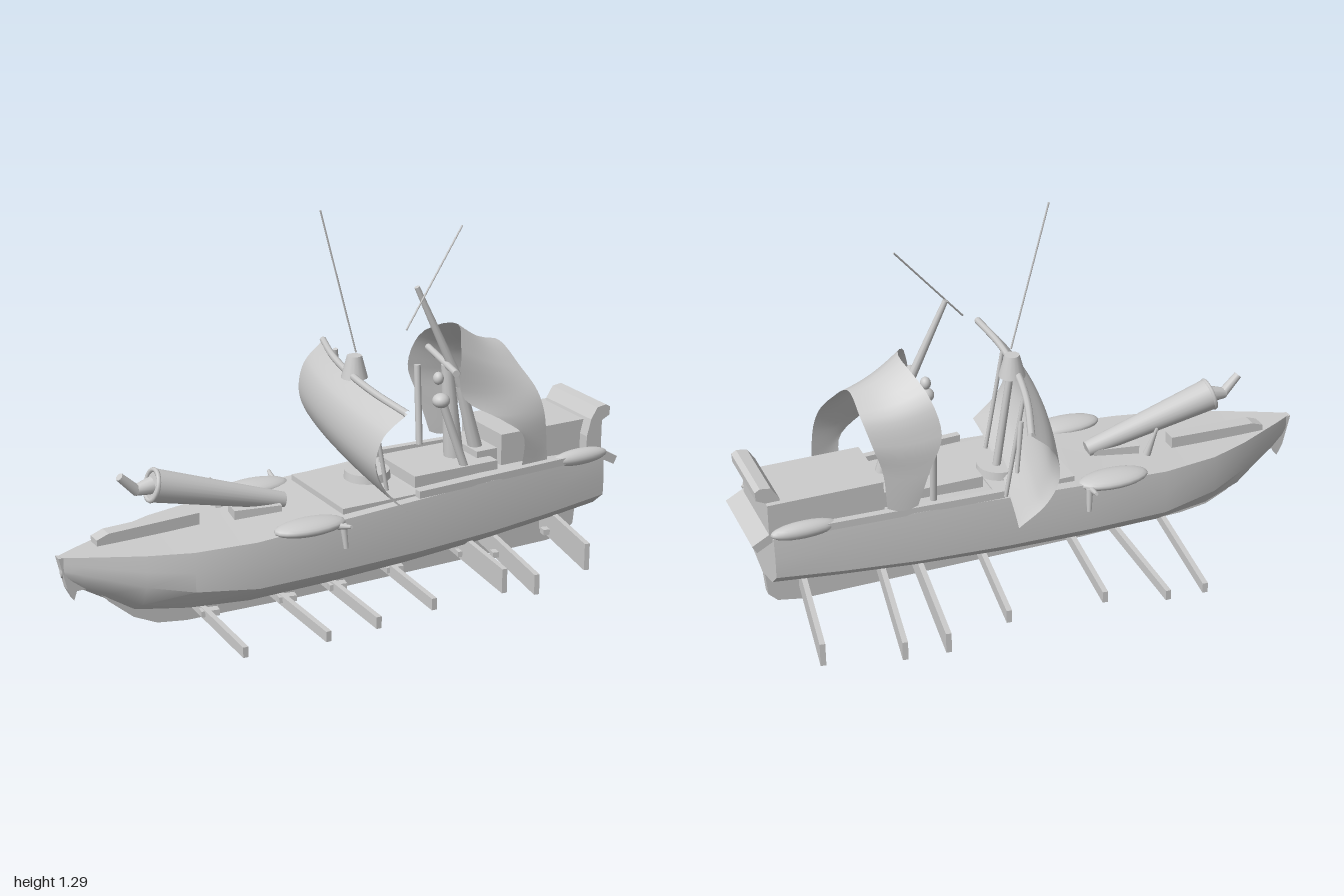
import * as THREE from 'three';
import { toCreasedNormals } from 'three/addons/utils/BufferGeometryUtils.js';
import { ParametricGeometry } from 'three/addons/geometries/ParametricGeometry.js';

const V = (x, y, z) => new THREE.Vector3(x, y, z);
const mat = new THREE.MeshStandardMaterial({ color: 0xcccccc });
const thin = new THREE.MeshStandardMaterial({ color: 0xcccccc, side: THREE.DoubleSide });

function add(parent, name, geo, material = mat) {
  const m = new THREE.Mesh(geo, material);
  m.name = name;
  parent.add(m);
  return m;
}

// Tapered round bar between two points
function rod(parent, name, a, b, r1, r2 = r1, sides = 10) {
  const m = add(parent, name, new THREE.CylinderGeometry(r2, r1, a.distanceTo(b), sides));
  m.position.copy(a).add(b).multiplyScalar(0.5);
  m.quaternion.setFromUnitVectors(V(0, 1, 0), b.clone().sub(a).normalize());
}

function box(parent, name, x, y, z, w, h, d) {
  const m = add(parent, name, new THREE.BoxGeometry(w, h, d));
  m.position.set(x, y, z);
  return m;
}

// Flattened ellipsoid
function pod(parent, name, x, y, z, rx, ry, rz) {
  const m = add(parent, name, new THREE.SphereGeometry(1, 20, 12));
  m.position.set(x, y, z);
  m.scale.set(rx, ry, rz);
}

// Flat side profile in x-y, extruded and centred across z
function plate(parent, name, pts, depth) {
  const shape = new THREE.Shape(pts.map(p => new THREE.Vector2(...p)));
  const g = new THREE.ExtrudeGeometry(shape, { depth, bevelEnabled: false });
  return add(parent, name, g.translate(0, 0, -depth / 2));
}

// Hull skin lofted through stations: x, half width, deck, chine, bottom heights
function hullGeometry() {
  const stations = [
    [-0.99, 0.012, 0.31, 0.265, 0.24], [-0.93, 0.045, 0.31, 0.25, 0.19],
    [-0.85, 0.085, 0.31, 0.23, 0.14], [-0.76, 0.13, 0.31, 0.205, 0.08],
    [-0.62, 0.185, 0.312, 0.18, 0.055], [-0.42, 0.22, 0.318, 0.162, 0.052],
    [-0.15, 0.225, 0.335, 0.165, 0.057], [0.15, 0.222, 0.35, 0.17, 0.07],
    [0.45, 0.21, 0.36, 0.18, 0.09], [0.7, 0.19, 0.36, 0.193, 0.11], [0.92, 0.172, 0.35, 0.21, 0.13],
  ];
  const pos = [], idx = [];
  for (const [x, w, top, chine, low] of stations) {
    const half = [[top, w * 0.97], [(top + chine) / 2, w * 1.01], [chine, w], [low + (chine - low) * 0.4, w * 0.68]];
    const ring = [...half, [low, 0], ...half.slice().reverse().map(([y, z]) => [y, -z])];
    for (const [y, z] of ring) pos.push(x, y, z);
  }
  const n = 9, last = (stations.length - 1) * n;
  for (let i = 0; i < stations.length - 1; i++) for (let j = 0; j < n; j++) {
    const a = i * n + j, b = i * n + (j + 1) % n;
    idx.push(a, b, a + n, b, b + n, a + n);
  }
  for (let k = 1; k < n - 1; k++) idx.push(0, k + 1, k, last, last + k, last + k + 1);
  const g = new THREE.BufferGeometry();
  g.setAttribute('position', new THREE.Float32BufferAttribute(pos, 3));
  g.setIndex(idx);
  return toCreasedNormals(g, 0.5);
}

export function createModel() {
  const model = new THREE.Group();

  // The ship lies slightly turned; everything fixed to the hull shares this frame
  const ship = new THREE.Group();
  ship.name = 'ship';
  ship.position.z = 0.052;
  ship.rotation.y = 0.178;
  ship.scale.x = 1.016;
  model.add(ship);

  add(ship, 'hull', hullGeometry());
  plate(ship, 'keel', [[-0.92, 0.22], [-0.84, 0.13], [-0.76, 0.06], [-0.68, 0.022], [-0.58, 0.008], [-0.2, 0],
    [0.8, 0.005], [0.88, 0.02], [0.91, 0.05], [0.92, 0.16], [0.7, 0.14], [0, 0.1], [-0.7, 0.1]], 0.03);
  plate(ship, 'beak', [[-1, 0.31], [-0.975, 0.2], [-0.955, 0.16], [-0.945, 0.19], [-0.88, 0.19], [-0.88, 0.3]], 0.03);

  // Low wedge on the foredeck
  const wedge = plate(ship, 'foredeckWedge', [[-0.86, 0.3], [-0.51, 0.3], [-0.51, 0.355], [-0.82, 0.345], [-0.86, 0.33]], 0.05);
  wedge.position.z = -0.045;

  // Deck fittings
  box(ship, 'midDeck', 0.04, 0.342, 0, 0.28, 0.03, 0.36);
  add(ship, 'mastBase', new THREE.CylinderGeometry(0.075, 0.08, 0.04, 28)).position.set(0.11, 0.365, -0.04);
  box(ship, 'aftDeck', 0.36, 0.372, 0, 0.32, 0.04, 0.24);

  // Rails and small side boats
  for (const s of [-1, 1]) {
    const rail = box(ship, 'rail', 0.52, 0.367, s * 0.187, 0.72, 0.025, 0.025);
    rail.rotation.y = s * 0.05;
    pod(ship, 'sideBoat', -0.23, 0.33, s * 0.2, 0.125, 0.026, 0.058);
    pod(ship, 'sternBoat', 0.82, 0.367, s * 0.168, 0.11, 0.028, 0.032);
    rod(ship, 'boatHook', V(-0.13, 0.33, s * 0.235), V(-0.125, 0.25, s * 0.245), 0.012, 0.008);
    rod(ship, 'boatPeg', V(-0.14, 0.32, s * 0.22), V(-0.13, 0.34, s * 0.29), 0.012, 0.006);
  }

  // Stern cabin, flared back panel and sloping ledge
  box(ship, 'cabin', 0.74, 0.41, -0.03, 0.38, 0.12, 0.25);
  box(ship, 'cabinStep', 0.54, 0.385, -0.03, 0.14, 0.06, 0.2);
  plate(ship, 'sternPanel', [[0.87, 0.35], [0.93, 0.35], [0.93, 0.47], [0.96, 0.485], [0.962, 0.515],
    [0.945, 0.525], [0.91, 0.52], [0.885, 0.48], [0.87, 0.42]], 0.272);
  const ledge = box(ship, 'sternLedge', 0.94, 0.342, 0, 0.09, 0.03, 0.31);
  ledge.rotation.z = -0.5;

  // Deck cannon with its rear handle and cradle
  const tail = V(-0.22, 0.345, 0.08), muzzle = V(-0.67, 0.475, 0.14);
  rod(model, 'cannonBarrel', tail, muzzle, 0.028, 0.055, 24);
  const rim = add(model, 'cannonRim', new THREE.TorusGeometry(0.05, 0.008, 8, 24));
  rim.position.copy(muzzle);
  rim.quaternion.setFromUnitVectors(V(0, 0, 1), muzzle.clone().sub(tail).normalize());
  rod(model, 'cannonHandle', muzzle, V(-0.73, 0.468, 0.15), 0.03, 0.018);
  rod(model, 'cannonHandle', V(-0.72, 0.465, 0.15), V(-0.78, 0.525, 0.165), 0.018, 0.014);
  box(model, 'cannonCradle', -0.32, 0.33, 0.095, 0.16, 0.04, 0.08);
  rod(model, 'deckPeg', V(-0.42, 0.33, 0.03), V(-0.45, 0.43, 0.02), 0.014, 0.005);

  // Main sail: a padded crescent bulging forward, wrapped back a little at both ends
  const profile = new THREE.CatmullRomCurve3([V(0.105, 0.365, 0), V(0.01, 0.45, 0), V(-0.037, 0.55, 0), V(-0.022, 0.65, 0), V(0.045, 0.722, 0)]);
  const sailPoint = (u, v, t, depth) => {
    const p = profile.getPoint(v), k = 2 * u - 1;
    const pad = depth * Math.sin(Math.PI * v) * (1 - k ** 12);
    t.set(p.x + (0.015 + 0.03 * v) * k * k + pad, p.y - 0.008 * k * k, -0.015 + k * (0.375 + 0.045 * v));
  };
  for (const depth of [0, 0.025]) {
    add(model, 'mainSail', new ParametricGeometry((u, v, t) => sailPoint(u, v, t, depth), 40, 20), thin);
  }
  const edge = [0, 0.25, 0.5, 0.75, 1].map(u => { const t = V(0, 0, 0); sailPoint(u, 1, t, 0); return t; });
  add(model, 'sailYard', new THREE.TubeGeometry(new THREE.CatmullRomCurve3(edge), 30, 0.012, 8));
  rod(model, 'mainMast', V(0.12, 0.35, -0.02), V(0.06, 0.76, -0.015), 0.014, 0.012);
  rod(model, 'sailStay', V(0.12, 0.36, 0.14), V(0.06, 0.72, 0.14), 0.007);
  rod(model, 'sailStay', V(0.12, 0.36, -0.19), V(0.06, 0.72, -0.19), 0.007);
  rod(model, 'sailPin', V(0.12, 0.545, -0.36), V(0.1, 0.71, -0.33), 0.007, 0.009);
  rod(model, 'mastTop', V(0.06, 0.71, -0.015), V(0.06, 0.785, -0.015), 0.045, 0.025, 16);

  // Aft sail: an arch sweeping down to a narrow foot on each side
  const front = new THREE.CatmullRomCurve3([V(0.42, 0.4, -0.25), V(0.38, 0.53, -0.26), V(0.34, 0.65, -0.26), V(0.37, 0.77, -0.22), V(0.44, 0.845, -0.06),
    V(0.4, 0.79, 0.08), V(0.39, 0.65, 0.125), V(0.53, 0.555, 0.13), V(0.62, 0.48, 0.11), V(0.62, 0.36, 0.1)]);
  const rear = new THREE.CatmullRomCurve3([V(0.52, 0.4, -0.25), V(0.53, 0.53, -0.25), V(0.56, 0.63, -0.25), V(0.59, 0.72, -0.21), V(0.61, 0.76, -0.1),
    V(0.65, 0.69, 0), V(0.69, 0.62, 0.05), V(0.71, 0.55, 0.07), V(0.72, 0.45, 0.075), V(0.725, 0.36, 0.075)]);
  add(model, 'aftSail', new ParametricGeometry((u, v, t) => {
    t.copy(front.getPoint(u)).lerp(rear.getPoint(u), v);
    t.y -= 0.015 * Math.sin(Math.PI * v);
  }, 40, 12), thin);

  // Aft mast and its posts
  rod(model, 'aftMast', V(0.45, 0.62, -0.02), V(0.275, 1, -0.01), 0.018, 0.009);
  rod(model, 'aftPost', V(0.42, 0.38, -0.02), V(0.39, 0.72, -0.02), 0.035, 0.02, 14);
  rod(model, 'aftPost', V(0.51, 0.38, -0.03), V(0.44, 0.64, -0.02), 0.025, 0.018);
  rod(model, 'aftYard', V(0.4, 0.72, -0.22), V(0.38, 0.72, 0.09), 0.012);
  rod(model, 'aftStay', V(0.36, 0.38, -0.19), V(0.36, 0.66, -0.22), 0.012);
  rod(model, 'aftStay', V(0.42, 0.38, 0.08), V(0.34, 0.62, 0.07), 0.014);
  pod(model, 'aftBlock', 0.335, 0.625, 0.07, 0.03, 0.025, 0.03);
  pod(model, 'aftBlock', 0.34, 0.69, 0.03, 0.018, 0.022, 0.02);

  // Thin spears above the rig
  rod(model, 'spear', V(0.06, 0.8, 0), V(-0.07, 1.292, 0.025), 0.003, 0.003, 6);
  rod(model, 'spear', V(0.2, 0.89, 0.095), V(0.44, 1.19, -0.03), 0.003, 0.003, 6);

  // Oars: upright planks from tip (x, z) to root (x, z) beneath the hull, and their height
  const leftOars = [
    [-0.5, 0.595, -0.56, 0.14, 0.035], [-0.225, 0.57, -0.305, 0.09, 0.035], [-0.045, 0.53, -0.115, 0.06, 0.04],
    [0.17, 0.455, 0.12, 0.02, 0.04], [0.435, 0.405, 0.405, -0.03, 0.085], [0.53, 0.45, 0.53, -0.05, 0.07], [0.77, 0.32, 0.78, -0.09, 0.095],
  ];
  const rightOars = [
    [-0.495, -0.44, -0.47, 0.14, 0.035], [-0.365, -0.455, -0.28, 0.1, 0.035], [-0.16, -0.425, -0.13, 0.07, 0.04],
    [0.17, -0.47, 0.185, 0.02, 0.045], [0.39, -0.59, 0.41, -0.02, 0.07], [0.53, -0.6, 0.53, -0.05, 0.065], [0.785, -0.575, 0.795, -0.09, 0.08],
  ];
  for (const [xt, zt, xr, zr, h] of [...leftOars, ...rightOars]) {
    const oar = box(model, 'oar', (xt + xr) / 2, 0.057 + h / 2, (zt + zr) / 2, 0.018, h, Math.hypot(xt - xr, zt - zr));
    oar.rotation.y = Math.atan2(xt - xr, zt - zr);
  }
  for (const [xt, zt, xr] of leftOars) box(model, 'oarCollar', (xt + xr) / 2, 0.08, zt - 0.31, 0.06, 0.02, 0.03);
  return model;
}
